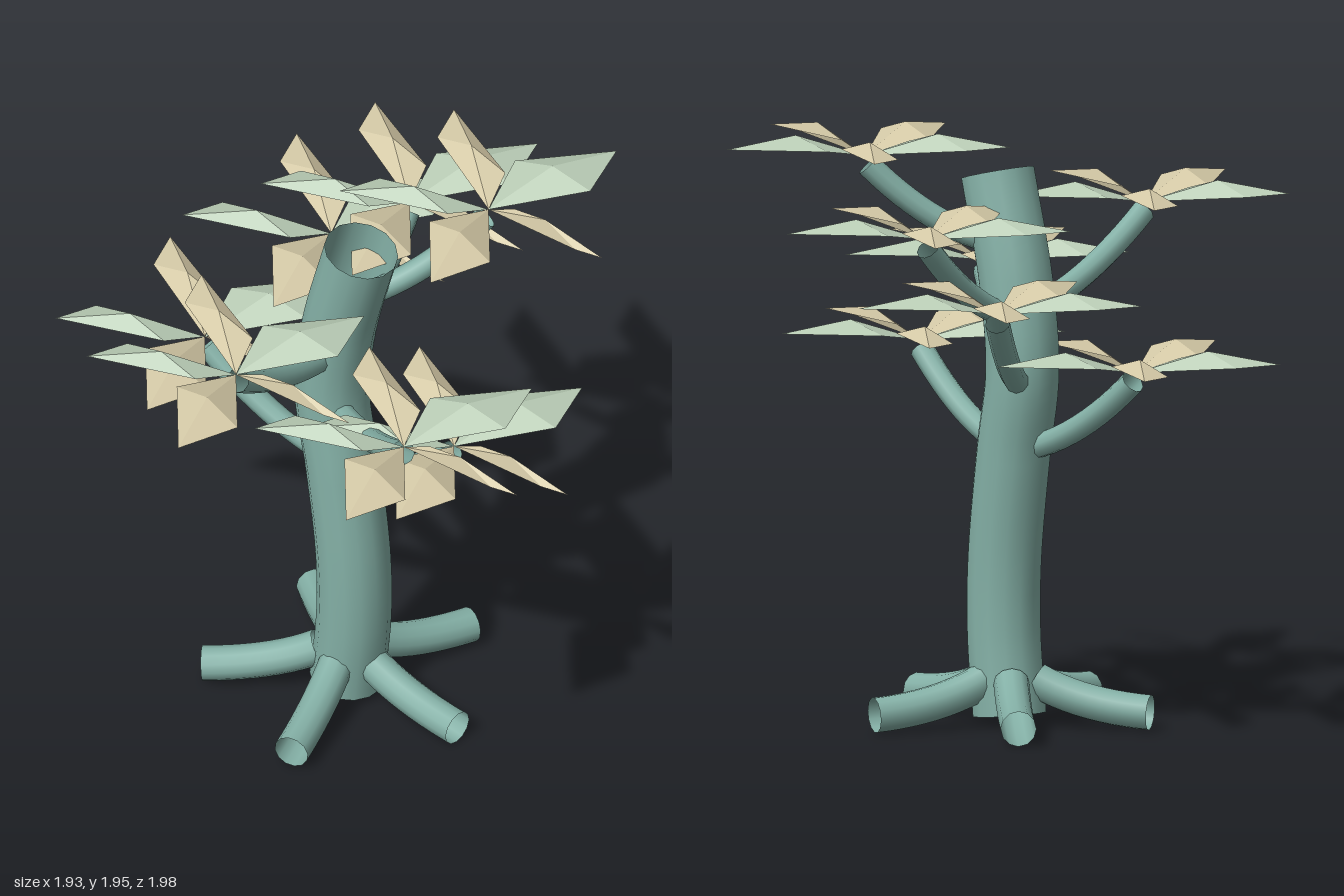
import * as THREE from 'three';

const bark = new THREE.MeshStandardMaterial({ name: 'teal bark', color: 0x84b0a6, side: THREE.DoubleSide });
const green = new THREE.MeshStandardMaterial({ name: 'pale green leaf', color: 0xbacdb6, side: THREE.DoubleSide, flatShading: true });
const beige = new THREE.MeshStandardMaterial({ name: 'beige leaf', color: 0xd6cba8, side: THREE.DoubleSide, flatShading: true });

const V = (x, y, z) => new THREE.Vector3(x, y, z);
const TRUNK_Z = -0.095;

// Open tube along a smooth curve
function tube(name, curve, radius, steps, sides) {
  const mesh = new THREE.Mesh(new THREE.TubeGeometry(curve, steps, radius, sides), bark);
  mesh.name = name;
  return mesh;
}

// Kite-shaped leaf with a raised centre ridge; its width always runs along x
function leafGeometry(angle) {
  const c = Math.cos(angle), s = Math.sin(angle), len = 0.485;
  const mx = c * len * 0.5, mz = s * len * 0.5;
  const skew = 0.018 * (Math.abs(s) < 0.1 ? 1 : Math.abs(c) < 0.5 ? Math.sign(s) : 0);
  const pts = [
    0, 0, 0,
    mx - 0.145, 0.04, mz - skew,
    mx, 0.08, mz,
    mx + 0.145, 0.04, mz + skew,
    c * len, 0.045, s * len,
  ];
  const g = new THREE.BufferGeometry();
  g.setAttribute('position', new THREE.Float32BufferAttribute(pts, 3));
  // Keep the upper side as the front whichever way the leaf points
  g.setIndex(s > 0 ? [0, 1, 2, 0, 2, 3, 1, 4, 2, 2, 4, 3] : [0, 2, 1, 0, 3, 2, 1, 2, 4, 2, 3, 4]);
  g.computeVertexNormals();
  return g;
}

// Five leaves spread round a branch tip
function leafCluster() {
  const group = new THREE.Group();
  group.name = 'leafCluster';
  [beige, beige, green, beige, green].forEach((material, i) => {
    const leaf = new THREE.Mesh(leafGeometry((i * Math.PI * 2) / 5), material);
    leaf.name = 'leaf';
    group.add(leaf);
  });
  return group;
}

export function createModel() {
  const model = new THREE.Group();
  model.name = 'tree';

  // Swaying hollow trunk
  const trunkCurve = new THREE.CatmullRomCurve3([
    [-0.04, 0.04], [-0.012, 0.3], [-0.015, 0.55], [-0.06, 0.9],
    [-0.105, 1.17], [-0.075, 1.45], [0.02, 1.805],
  ].map(([x, y]) => V(x, y, TRUNK_Z)));
  model.add(tube('trunk', trunkCurve, 0.122, 40, 14));

  // Trunk centre at a given height
  const samples = trunkCurve.getPoints(200);
  const trunkAt = (y) => samples.reduce((a, b) => (Math.abs(b.y - y) < Math.abs(a.y - y) ? b : a));

  // Five roots curving down and outwards
  for (let i = 0; i < 5; i++) {
    const a = (i * Math.PI * 2) / 5;
    const at = (r, y) => V(-0.04 + Math.cos(a) * r, y, TRUNK_Z + Math.sin(a) * r);
    const curve = new THREE.QuadraticBezierCurve3(at(0.09, 0.155), at(0.24, 0.075), at(0.47, 0.062));
    model.add(tube('root', curve, 0.058, 10, 12));
  }

  // Branches: start height, then tip x, y, z
  const branches = [
    [0.93, -0.57, 1.20, -0.005],
    [0.93, 0.42, 1.20, -0.09],
    [1.15, -0.43, 1.42, -0.47],
    [1.15, 0.485, 1.42, 0.235],
    [1.37, -0.16, 1.64, -0.545],
    [1.37, 0.01, 1.64, 0.515],
    [1.60, 0.245, 1.86, -0.465],
  ];
  for (const [startY, x, y, z] of branches) {
    const centre = trunkAt(startY);
    const tip = V(x, y, z);
    const out = V(x - centre.x, 0, z - centre.z).normalize();
    const start = V(centre.x, startY, centre.z).addScaledVector(out, 0.1);
    const end = tip.clone().addScaledVector(out, -0.01).setY(y - 0.02);
    const bend = start.clone().lerp(end, 0.5);
    bend.y -= 0.06;
    model.add(tube('branch', new THREE.QuadraticBezierCurve3(start, bend, end), 0.04, 10, 10));
    const cluster = leafCluster();
    cluster.position.copy(tip).setY(y + 0.01);
    model.add(cluster);
  }
  return model;
}
